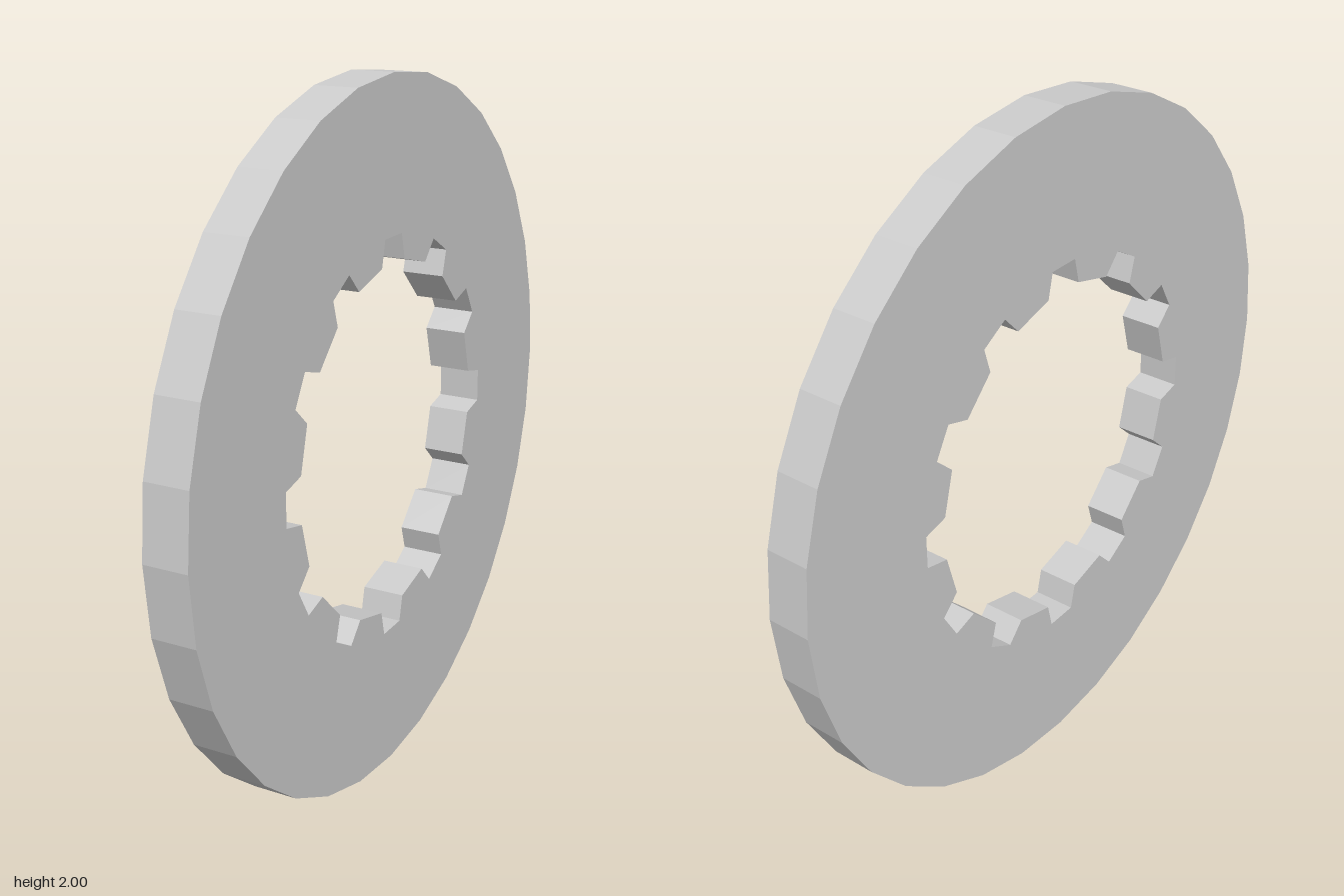
import * as THREE from 'three';

const OUTER_SIDES = 32, NOTCHES = 12, THICKNESS = 0.125;
const INNER_R = 0.505, NOTCH_R = 0.577;

// Point on a circle, angle in degrees
const polar = (r, deg) => {
  const a = THREE.MathUtils.degToRad(deg);
  return new THREE.Vector2(r * Math.cos(a), r * Math.sin(a));
};

export function createModel() {
  const group = new THREE.Group();
  group.name = 'notchedRing';

  // Faceted outer rim
  const rim = [];
  for (let i = 0; i < OUTER_SIDES; i++) rim.push(polar(1, (i * 360) / OUTER_SIDES));
  const shape = new THREE.Shape(rim);

  // Bore with evenly spaced tapered notches
  const bore = [];
  for (let i = 0; i < NOTCHES; i++) {
    const mid = (i * 360) / NOTCHES;
    bore.push(
      polar(INNER_R, mid - 7.5), polar(NOTCH_R, mid - 4.8),
      polar(NOTCH_R, mid + 4.8), polar(INNER_R, mid + 7.5)
    );
  }
  shape.holes.push(new THREE.Path(bore.reverse()));

  // Extrude, then stand the disc upright with its axis along x
  const geometry = new THREE.ExtrudeGeometry(shape, { depth: THICKNESS, bevelEnabled: false });
  geometry.translate(0, 0, -THICKNESS / 2);
  geometry.rotateY(Math.PI / 2);
  geometry.translate(0, 1, 0);

  const disc = new THREE.Mesh(
    geometry,
    new THREE.MeshStandardMaterial({ color: 0xcccccc, flatShading: true })
  );
  disc.name = 'notchedDisc';
  group.add(disc);
  return group;
}
